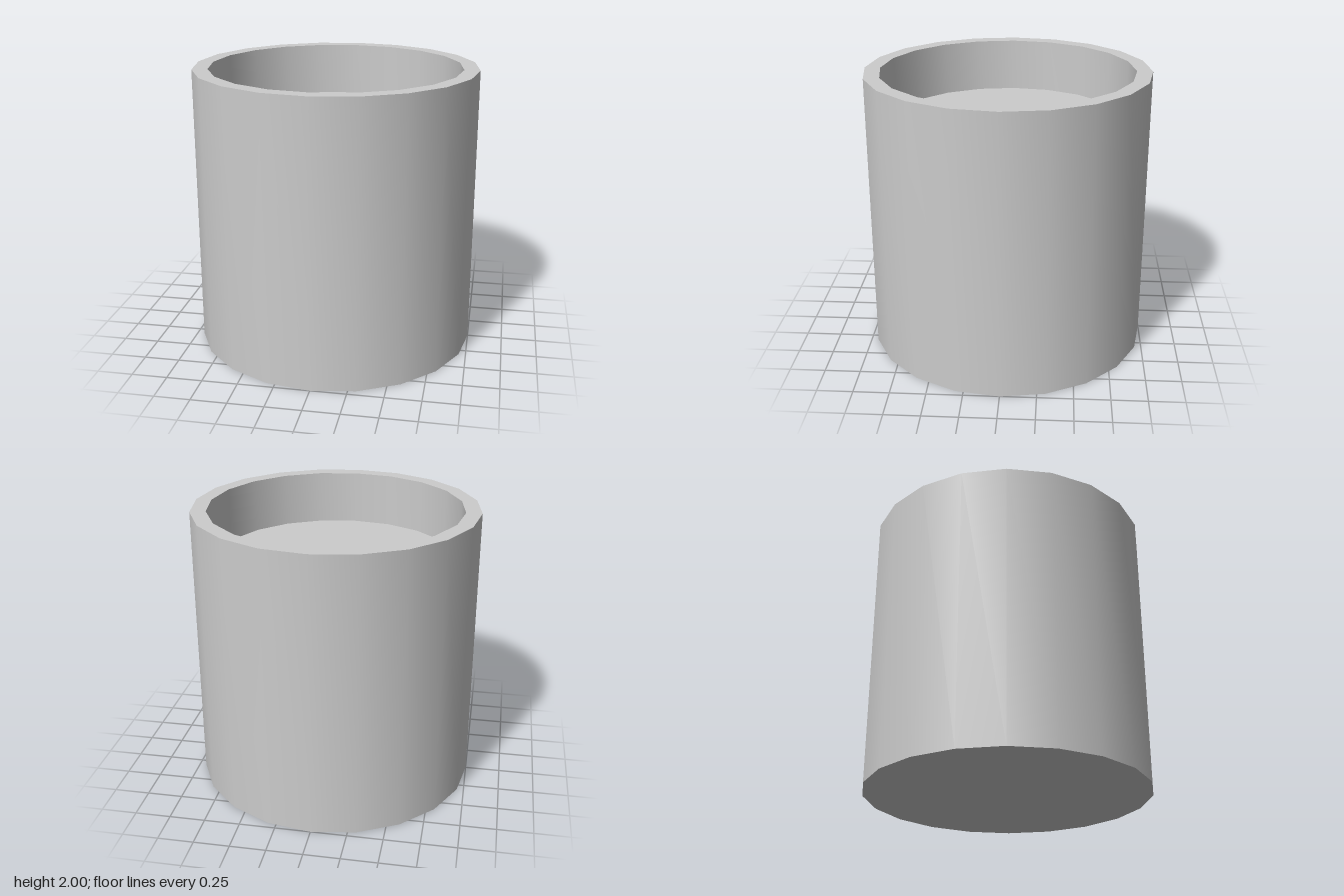
import * as THREE from 'three';
import { toCreasedNormals } from 'three/addons/utils/BufferGeometryUtils.js';

const SIDES = 20;

export function createModel() {
  const group = new THREE.Group();
  const material = new THREE.MeshStandardMaterial({ color: 0xcccccc });

  // Closed cup: underside, outer wall, rim, inner wall, inner floor
  const profile = [[0, 0], [1, 0], [1, 2], [0.89, 2], [0.89, 0.11], [0, 0.11]]
    .map(([r, y]) => new THREE.Vector2(r, y));
  const cup = new THREE.Mesh(
    toCreasedNormals(new THREE.LatheGeometry(profile, SIDES), 0.6), material);
  cup.name = 'cup';
  group.add(cup);

  // Solid filling, slightly narrower than the cup's inside
  const bottom = 0.11, top = 1.63;
  const filling = new THREE.Mesh(
    new THREE.CylinderGeometry(0.855, 0.855, top - bottom, SIDES), material);
  filling.position.y = (top + bottom) / 2;
  filling.name = 'filling';
  group.add(filling);

  return group;
}
